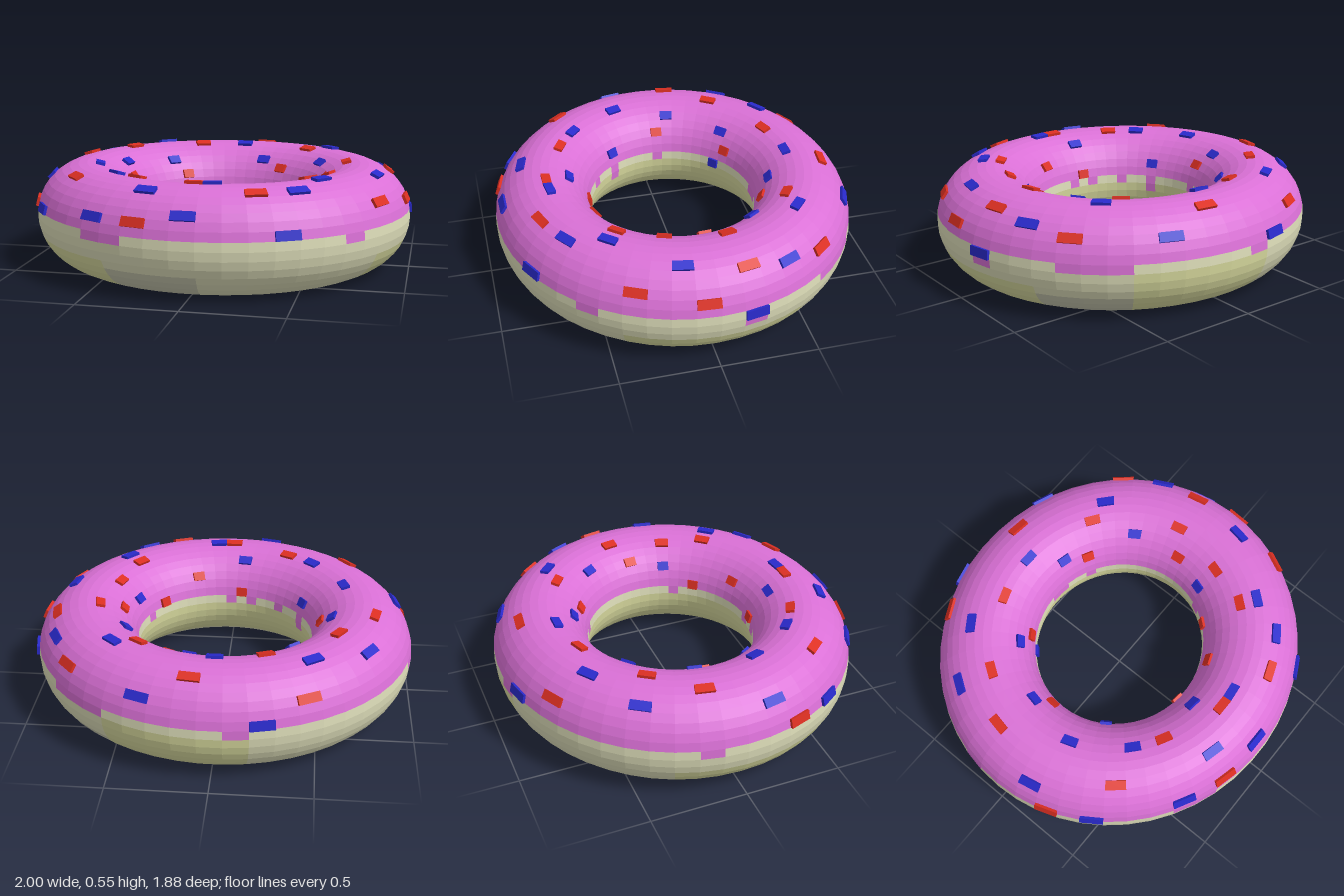
import * as THREE from 'three';

const R = 0.73, r = 0.267, DEPTH = 0.947; // ring radius, tube radius, front-to-back squash
const COLS = 50, ROWS = 36;               // cells around the ring and around the tube

const material = (name, color) => {
  const m = new THREE.MeshStandardMaterial({ color, flatShading: true });
  m.name = name;
  return m;
};

// Corner point of the cell grid, lifted off the surface by h
function point(col, row, h = 0) {
  const t = (col / COLS) * Math.PI * 2, p = (row / ROWS) * Math.PI * 2;
  const rho = R + (r + h) * Math.cos(p);
  return [rho * Math.cos(t), r + (r + h) * Math.sin(p), rho * Math.sin(t) * DEPTH];
}

const addQuad = (out, a, b, c, d) => out.push(...a, ...b, ...c, ...a, ...c, ...d);

function makeMesh(name, positions, mat) {
  const g = new THREE.BufferGeometry();
  g.setAttribute('position', new THREE.Float32BufferAttribute(positions, 3));
  g.computeVertexNormals();
  const mesh = new THREE.Mesh(g, mat);
  mesh.name = name;
  return mesh;
}

// Icing drips: column -> number of extra rows covered below the edge
const outerDrips = { 5: 1, 15: 1, 16: 1, 26: 1, 36: 1, 42: 1, 43: 1, 44: 1, 48: 2 };
const innerDrips = { 3: 1, 12: 1, 14: 1, 17: 1, 20: 2, 25: 1, 37: 1, 38: 1, 41: 1 };

// Baked patches in the dough: [first column, end column, first row, end row]
const greyPatches = [[12, 16, 26, 33], [42, 46, 28, 33]];
const yellowPatches = [[16, 28, 28, 34], [36, 42, 28, 36], [0, 4, 30, 34], [46, 50, 30, 34], [0, 50, 18, 23]];
const inside = (list, c, w) => list.some(([c0, c1, r0, r1]) => c >= c0 && c < c1 && w >= r0 && w < r1);

// Sprinkles as seen from above: x, z pairs, each snapped to a cell of the ring
const redSpots = [
  [-.46, -.80], [.105, -.81], [-.25, -.60], [-.61, -.37], [-.79, -.15], [-.515, -.04], [.39, -.52],
  [.73, -.58], [.87, -.165], [.655, -.125], [.545, -.04], [.59, .18], [.515, .40], [.86, .38],
  [-.66, .51], [-.325, .555], [0, .675], [.31, .745], [.19, .455], [-.06, .44], [-.25, .90],
  [-.95, .29], [.97, .05], [.36, .285], [.235, -.41], [-.28, -.37],
];
const blueSpots = [
  [-.25, -.915], [.35, -.845], [0, -.645], [.52, -.535], [.83, -.38], [.125, -.48], [.495, -.27],
  [-.36, -.36], [-.475, -.595], [-.755, -.455], [-.58, -.11], [-.91, .16], [-.64, .19], [-.415, .245],
  [-.465, .455], [-.075, .55], [.09, .67], [-.215, .78], [-.47, .81], [-.84, .50], [0, .905],
  [.50, .66], [.585, .46], [.83, .15], [.49, .15], [.47, .825], [.99, -.17], [-.31, -.31],
];

// One raised cell: a top face and four sides
function addSprinkle(out, [x, z]) {
  const t = Math.atan2(z / DEPTH, x), rho = Math.hypot(x, z / DEPTH);
  const p = Math.acos(THREE.MathUtils.clamp((rho - R) / 0.275, -0.9999, 1));
  const c = Math.floor((t / (Math.PI * 2)) * COLS), w = Math.floor((p / (Math.PI * 2)) * ROWS);
  const corners = [[c, w], [c, w + 1], [c + 1, w + 1], [c + 1, w]];
  const top = corners.map(([a, b]) => point(a, b, 0.015));
  const base = corners.map(([a, b]) => point(a, b, -0.003));
  addQuad(out, ...top);
  for (let i = 0; i < 4; i++) {
    const j = (i + 1) % 4;
    addQuad(out, base[i], base[j], top[j], top[i]);
  }
}

export function createModel() {
  const group = new THREE.Group();
  group.name = 'doughnut';

  // Ring surface, sorted into icing and dough
  const icing = [], dough = [], greyDough = [], yellowDough = [];
  for (let c = 0; c < COLS; c++) {
    const low = 1 - (outerDrips[c] || 0), high = 17 + (innerDrips[c] || 0);
    for (let k = -9; k < ROWS - 9; k++) {
      const w = (k + ROWS) % ROWS;
      const target = k >= low && k < high ? icing
        : inside(greyPatches, c, w) ? greyDough
        : inside(yellowPatches, c, w) ? yellowDough : dough;
      addQuad(target, point(c, k), point(c, k + 1), point(c + 1, k + 1), point(c + 1, k));
    }
  }
  group.add(
    makeMesh('icing', icing, material('pink icing', 0xda70d6)),
    makeMesh('dough', dough, material('beige dough', 0xdcdcb8)),
    makeMesh('greyDoughPatches', greyDough, material('grey dough', 0xc4c4ac)),
    makeMesh('yellowDoughPatches', yellowDough, material('yellow dough', 0xd8da9e)),
  );

  // Sprinkles
  const red = [], blue = [];
  redSpots.forEach((s) => addSprinkle(red, s));
  blueSpots.forEach((s) => addSprinkle(blue, s));
  group.add(
    makeMesh('redSprinkles', red, material('red', 0xdc2f22)),
    makeMesh('blueSprinkles', blue, material('blue', 0x2a2acc)),
  );
  return group;
}
